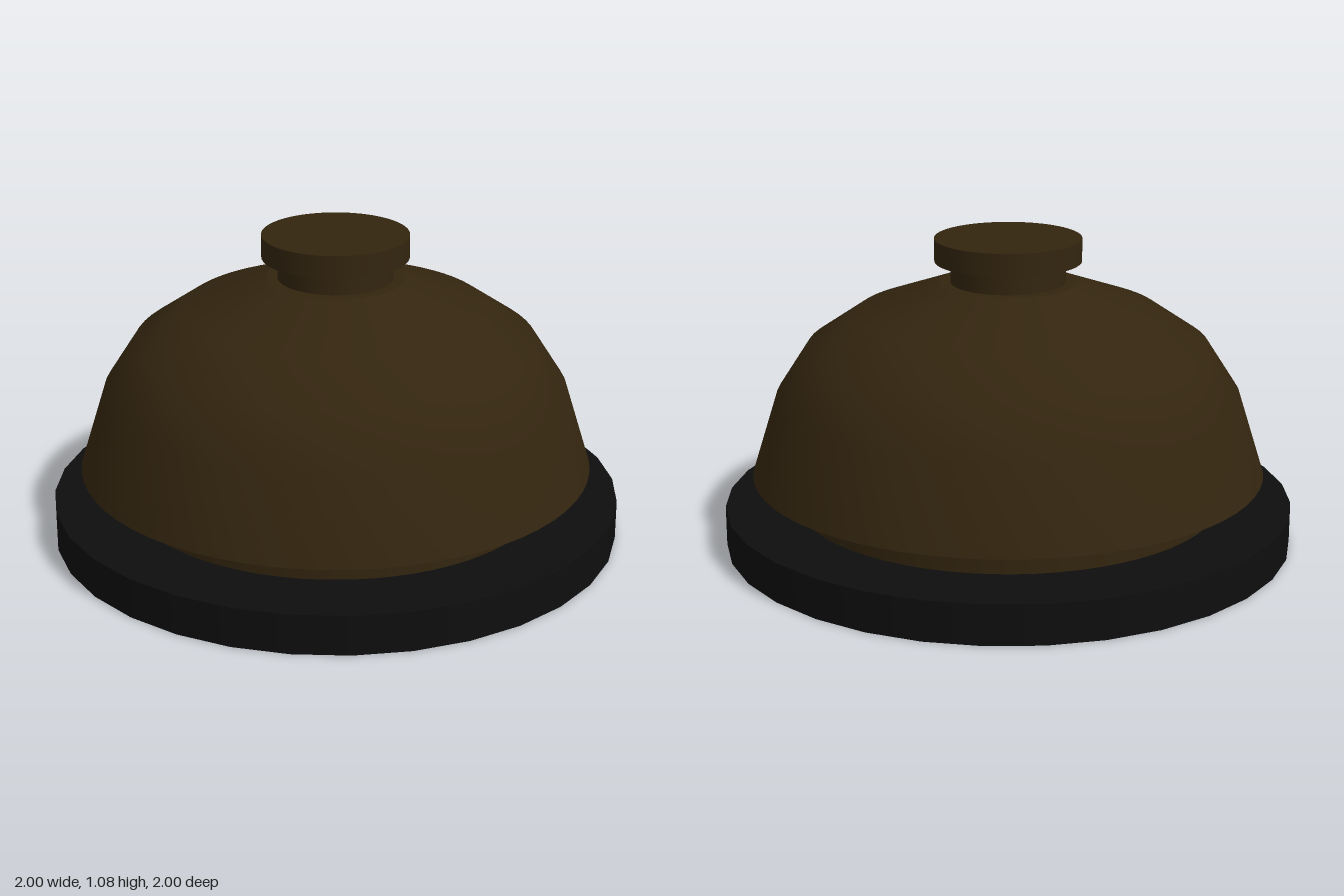
import * as THREE from 'three';

export function createModel() {
  const group = new THREE.Group();
  const bronze = new THREE.MeshStandardMaterial({ name: 'dark bronze', color: 0x33250f });
  const black = new THREE.MeshStandardMaterial({ name: 'black', color: 0x0e0e0e });

  const add = (name, geometry, material, y = 0) => {
    const mesh = new THREE.Mesh(geometry, material);
    mesh.name = name;
    mesh.position.y = y;
    group.add(mesh);
  };
  // Upright disc between two heights
  const disc = (name, radius, bottom, top, sides, material) =>
    add(name, new THREE.CylinderGeometry(radius, radius, top - bottom, sides), material, (bottom + top) / 2);

  // Base plate and the collar that carries the bell
  disc('base', 1, 0, 0.14, 32, black);
  disc('collar', 0.75, 0.14, 0.25, 64, bronze);

  // Bell dome, smooth around and along its profile
  const profile = [[0.9, 0.25], [0.81, 0.535], [0.7, 0.705], [0.53, 0.82], [0.24, 0.925]]
    .map(([r, y]) => new THREE.Vector2(r, y));
  add('dome', new THREE.LatheGeometry(profile, 64), bronze);

  // Flat faces closing the dome below and above
  const underside = new THREE.CircleGeometry(0.9, 64).rotateX(Math.PI / 2);
  add('domeUnderside', underside, bronze, 0.25);
  const crown = new THREE.CircleGeometry(0.24, 64).rotateX(-Math.PI / 2);
  add('domeCrown', crown, bronze, 0.925);

  // Push button
  disc('buttonStem', 0.2, 0.925, 1, 64, bronze);
  disc('buttonCap', 0.255, 1, 1.08, 64, bronze);

  return group;
}
